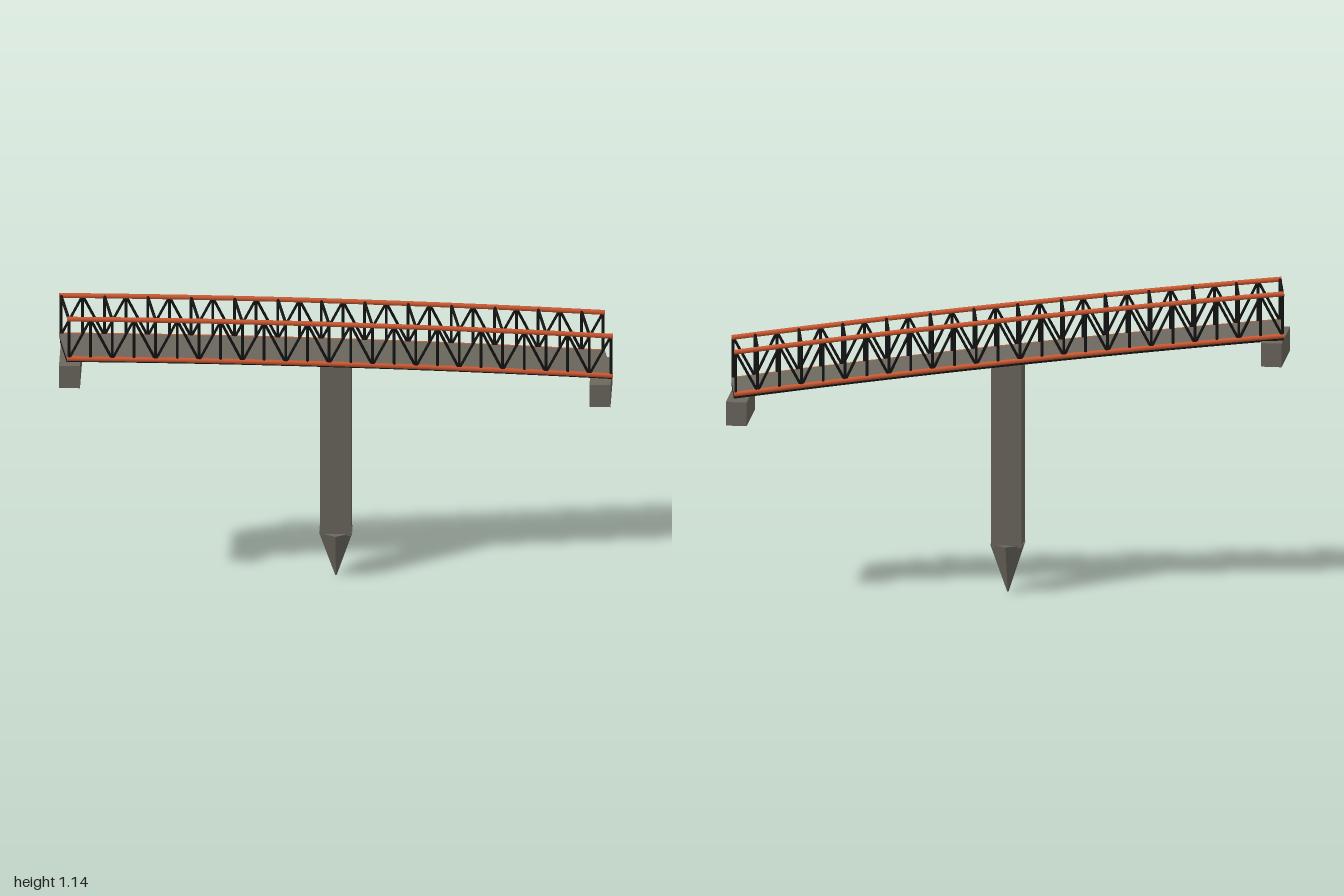
import * as THREE from 'three';

const HALF = 0.994;     // half the span
const SIDE = 0.103;     // truss offset from the centreline
const TRUSS_H = 0.157;  // rail to rail height
const PANELS = 25;

const concrete = new THREE.MeshStandardMaterial({ color: 0x6c685e });
concrete.name = 'concrete';
const rust = new THREE.MeshStandardMaterial({ color: 0xd05a32 });
rust.name = 'rustOrange';
const iron = new THREE.MeshStandardMaterial({ color: 0x141414 });
iron.name = 'blackIron';

// Height of the bottom rail along the gently arched, sloping span
function arch(s) {
  const t = s / HALF;
  return 0.873 - 0.0975 * t + 0.012 * (1 - t * t);
}

// Position along the span of a truss post
function station(i) {
  return (HALF - 0.006) * ((2 * i) / PANELS - 1);
}

function add(parent, name, geometry, material, x = 0, y = 0, z = 0) {
  const mesh = new THREE.Mesh(geometry, material);
  mesh.name = name;
  mesh.position.set(x, y, z);
  parent.add(mesh);
  return mesh;
}

// Slab that follows the arch between two height offsets
function archSlab(low, high, width) {
  const bottom = [], top = [];
  for (let i = 0; i <= PANELS; i++) {
    const s = -HALF + (2 * HALF * i) / PANELS;
    bottom.push(new THREE.Vector2(s, arch(s) + low));
    top.unshift(new THREE.Vector2(s, arch(s) + high));
  }
  const shape = new THREE.Shape([...bottom, ...top]);
  const g = new THREE.ExtrudeGeometry(shape, { depth: width, bevelEnabled: false });
  return g.translate(0, 0, -width / 2);
}

// Round rail with closed ends
function rail(parent, name, rise, z) {
  const radius = 0.009;
  const points = [];
  for (let i = 0; i <= 12; i++) {
    const s = HALF * (i / 6 - 1);
    points.push(new THREE.Vector3(s, arch(s) + rise, z));
  }
  const path = new THREE.CatmullRomCurve3(points);
  add(parent, name, new THREE.TubeGeometry(path, 40, radius, 10), rust);
  for (const end of [0, 1]) {
    const cap = add(parent, name + 'End', new THREE.CircleGeometry(radius, 10), rust);
    cap.position.copy(points[end * 12]);
    cap.rotation.y = (end ? 1 : -1) * Math.PI / 2;
  }
}

// Round rod between two points
function rod(parent, name, a, b, radius) {
  const dir = b.clone().sub(a);
  const mesh = add(parent, name, new THREE.CylinderGeometry(radius, radius, dir.length(), 8), iron);
  mesh.position.copy(a).add(b).multiplyScalar(0.5);
  mesh.quaternion.setFromUnitVectors(new THREE.Vector3(0, 1, 0), dir.normalize());
}

function node(i, up, z) {
  const s = station(i);
  return new THREE.Vector3(s, arch(s) + (up ? TRUSS_H : 0), z);
}

function createTruss(z) {
  const truss = new THREE.Group();
  truss.name = z > 0 ? 'frontTruss' : 'backTruss';
  rail(truss, 'bottomRail', 0, z);
  rail(truss, 'topRail', TRUSS_H, z);
  for (let i = 0; i <= PANELS; i++) {
    rod(truss, 'post', node(i, false, z), node(i, true, z), 0.0052);
    // Diagonals zigzag from panel to panel
    if (i < PANELS) rod(truss, 'diagonal', node(i, i % 2 === 1, z), node(i + 1, i % 2 === 0, z), 0.005);
  }
  return truss;
}

export function createModel() {
  const model = new THREE.Group();
  model.name = 'footbridge';

  // Span, turned slightly about the pier
  const span = new THREE.Group();
  span.name = 'span';
  span.rotation.y = THREE.MathUtils.degToRad(9.9);
  model.add(span);

  add(span, 'deck', archSlab(-0.007, 0.008, 0.198), concrete);
  add(span, 'deckUnderside', archSlab(-0.012, -0.007, 0.194), iron);
  add(span, 'deckBeam', archSlab(-0.021, -0.012, 0.172), iron);
  for (const side of [1, -1]) span.add(createTruss(side * SIDE));

  // Overhead ties on every second post
  for (let i = 0; i < PANELS; i += 2) {
    rod(span, 'overheadTie', node(i, true, -SIDE), node(i, true, SIDE), 0.0055);
  }

  // Pier with a pointed six-sided foot
  add(model, 'pier', new THREE.BoxGeometry(0.112, 0.69, 0.088), concrete, 0, 0.52, 0);
  const foot = new THREE.CylinderGeometry(0.069, 0.003, 0.182, 6).toNonIndexed();
  foot.computeVertexNormals();
  add(model, 'pierFoot', foot, concrete, 0, 0.091, 0);

  // Abutment blocks under both ends
  const block = new THREE.BoxGeometry(0.076, 0.088, 0.24);
  add(model, 'rightAbutment', block, concrete, -0.953, 0.903, 0.165);
  add(model, 'leftAbutment', block, concrete, 0.952, 0.705, -0.165);

  return model;
}
